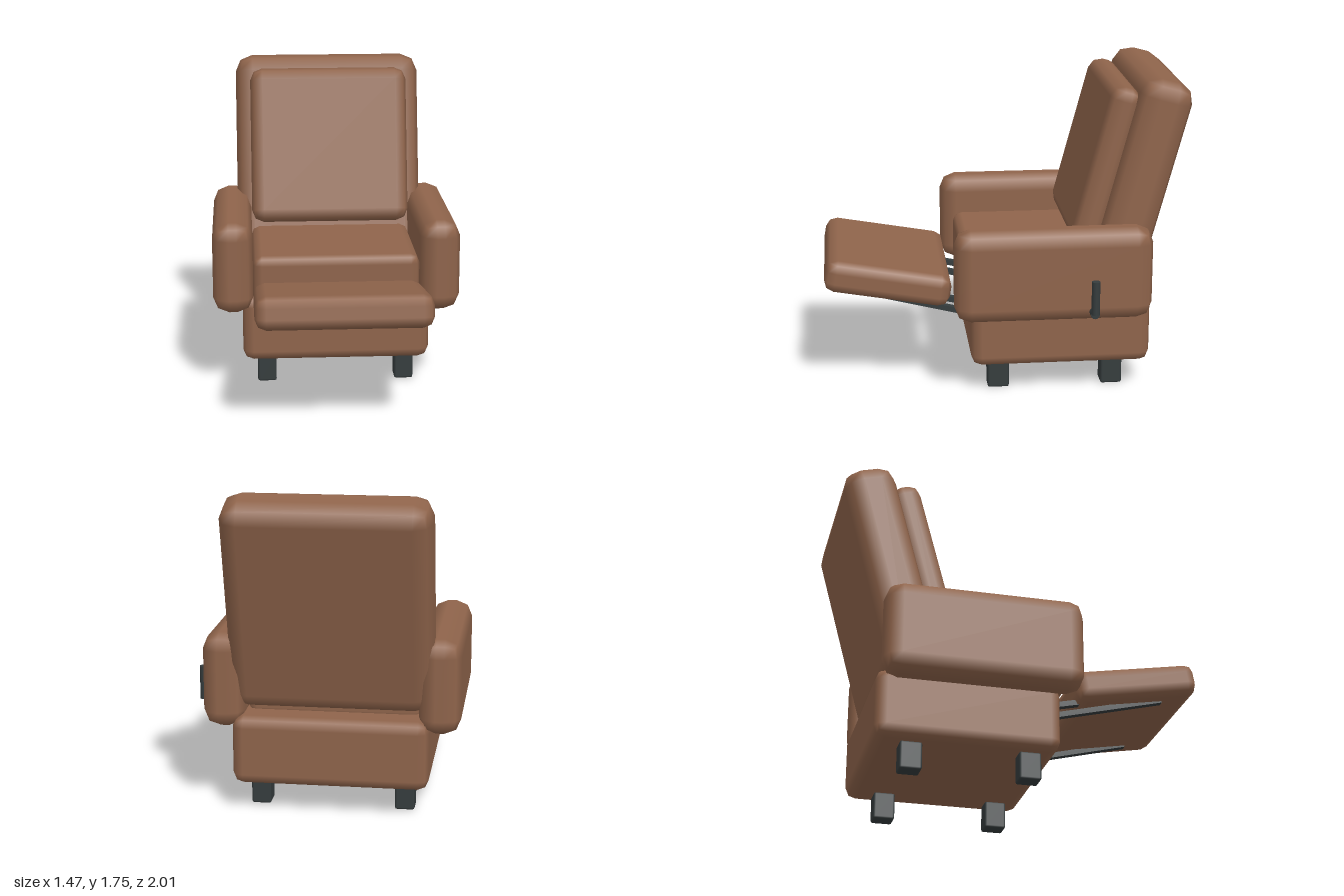
import * as THREE from 'three';
import { RoundedBoxGeometry } from 'three/addons/geometries/RoundedBoxGeometry.js';

const CX = -0.04; // centre line of the chair; the lever sticks out on +x

export function createModel() {
  const group = new THREE.Group();
  const leather = new THREE.MeshStandardMaterial({ color: 0x8f644b });
  leather.name = 'brownLeather';
  const metal = new THREE.MeshStandardMaterial({ color: 0x353c3d });
  metal.name = 'darkMetal';

  const add = (name, geometry, material, x, y, z, tilt = 0) => {
    const mesh = new THREE.Mesh(geometry, material);
    mesh.name = name;
    mesh.position.set(x, y, z);
    mesh.rotation.x = tilt;
    group.add(mesh);
    return mesh;
  };
  // Padded block with a two-step bevel
  const pad = (name, w, h, d, r, x, y, z, tilt) =>
    add(name, new RoundedBoxGeometry(w, h, d, 1, r), leather, x, y, z, tilt);

  // Base and seat
  pad('base', 1.06, 0.38, 1.0, 0.06, CX, 0.34, -0.3);
  pad('seatCushion', 0.94, 0.285, 0.855, 0.05, CX, 0.632, -0.193);

  // Reclined back: u runs up the back, n runs forward out of it
  const lean = THREE.MathUtils.degToRad(15);
  const backPad = (name, w, u0, u1, n0, n1, r) => {
    const u = (u0 + u1) / 2, n = (n0 + n1) / 2;
    const c = Math.cos(lean), s = Math.sin(lean);
    pad(name, w, u1 - u0, n1 - n0, r, CX, u * c + n * s, n * c - u * s, -lean);
  };
  backPad('backrest', 1.1, 0.71, 1.91, -0.557, -0.26, 0.1);
  backPad('backCushion', 0.93, 0.895, 1.81, -0.3, -0.121, 0.07);

  // Raised footrest
  pad('footrest', 0.94, 0.18, 0.7, 0.06, CX, 0.627, 0.652, THREE.MathUtils.degToRad(-10));

  // Bar between two points of a side profile given as [z, y]
  const bar = (name, x, [z0, y0], [z1, y1]) => {
    const length = Math.hypot(z1 - z0, y1 - y0);
    add(name, new THREE.BoxGeometry(0.04, 0.03, length), metal,
      x, (y0 + y1) / 2, (z0 + z1) / 2, -Math.atan2(y1 - y0, z1 - z0));
  };

  // Arms, footrest bars and legs on both sides
  for (const [side, s] of [['left', 1], ['right', -1]]) {
    pad(side + 'Arm', 0.225, 0.52, 1.085, 0.09, CX + s * 0.5825, 0.715, -0.242);
    bar(side + 'FootrestBar', CX + s * 0.335, [0.05, 0.38], [0.82, 0.572]);
    bar(side + 'FootrestStay', CX + s * 0.335, [0.12, 0.46], [0.42, 0.527]);
    for (const [end, z] of [['Front', 0.045], ['Back', -0.595]]) {
      add(side + end + 'Leg', new RoundedBoxGeometry(0.107, 0.155, 0.12, 1, 0.012),
        metal, CX + s * 0.394, 0.0775, z);
    }
  }

  // Recline lever on the left arm
  const pivot = add('leverPivot', new THREE.CylinderGeometry(0.025, 0.025, 0.11, 12), metal, 0.65, 0.525, -0.452);
  pivot.rotation.z = Math.PI / 2;
  add('leverHandle', new THREE.CylinderGeometry(0.023, 0.023, 0.187, 12), metal, 0.707, 0.6215, -0.452);

  return group;
}
